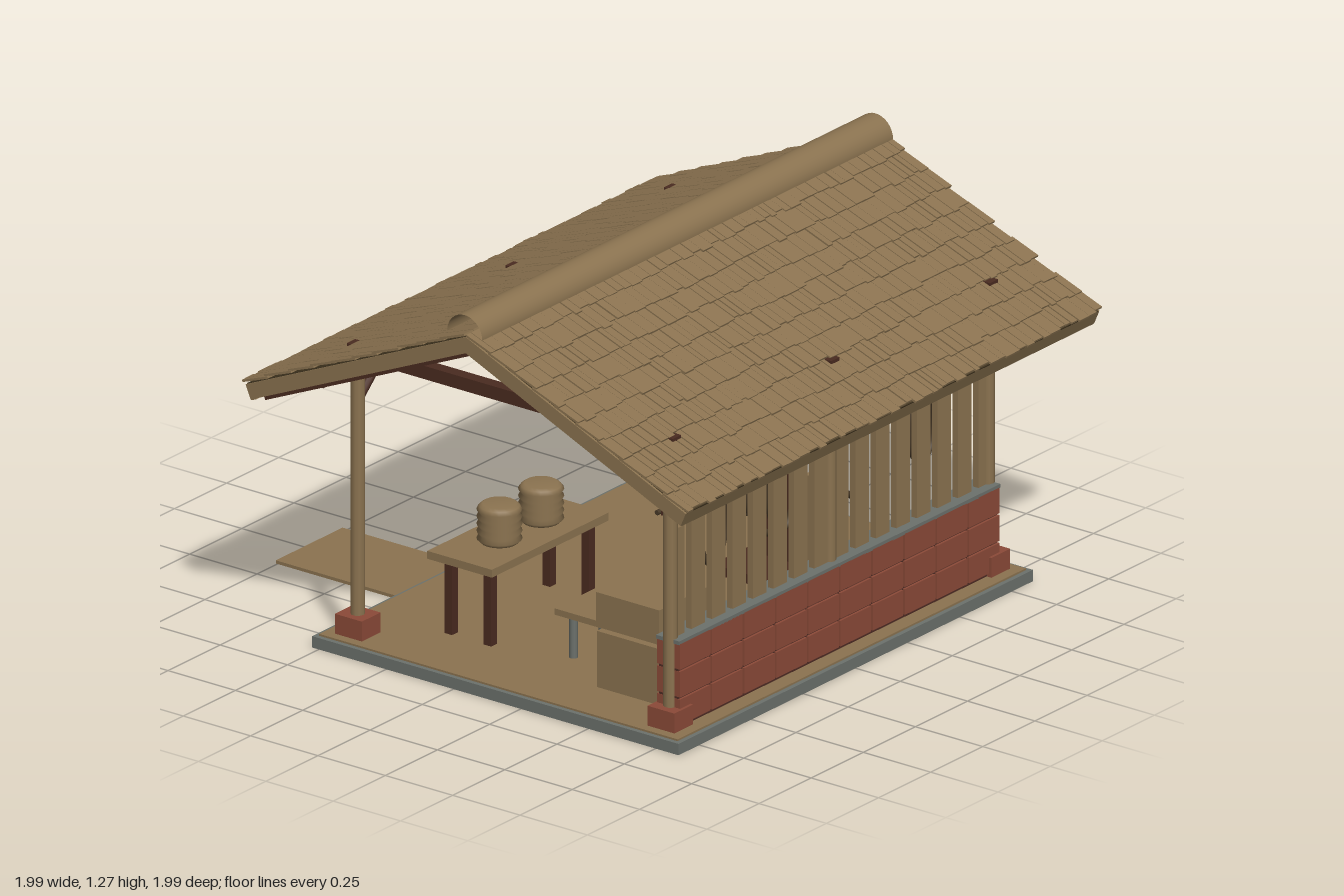
import * as THREE from 'three';
import { mergeGeometries } from 'three/addons/utils/BufferGeometryUtils.js';

const mat = (name, color, side = THREE.FrontSide) => {
  const m = new THREE.MeshStandardMaterial({ color, side });
  m.name = name;
  return m;
};

export function createModel() {
  const root = new THREE.Group();
  root.name = 'openWorkshop';
  const tan = mat('tan wood', 0x8b7350);
  const tanShell = tan.clone();
  tanShell.side = THREE.DoubleSide;
  const brown = mat('dark brown wood', 0x4a2b20);
  const brick = mat('red brick', 0x8b4a38);
  const mortar = mat('mortar', 0x4f2c24);
  const stone = mat('grey stone', 0x6c716c);
  const rope = mat('dark rope', 0x4a3b29);
  const shade = mat('roof gap', 0x40341f);

  let seed = 7;
  const rnd = () => (seed = (seed * 16807) % 2147483647) / 2147483647;

  const add = (name, geo, m, parent = root) => {
    const mesh = new THREE.Mesh(geo, m);
    mesh.name = name;
    parent.add(mesh);
    return mesh;
  };
  // box geometry from its limits
  const bx = (x0, x1, y0, y1, z0, z1) =>
    new THREE.BoxGeometry(x1 - x0, y1 - y0, z1 - z0).translate((x0 + x1) / 2, (y0 + y1) / 2, (z0 + z1) / 2);
  const box = (name, m, lim, parent) => add(name, bx(...lim), m, parent);
  // round bar between two points
  const bar = (name, m, a, b, r, parent) => {
    const p = new THREE.Vector3(...a), q = new THREE.Vector3(...b);
    const mesh = add(name, new THREE.CylinderGeometry(r, r, p.distanceTo(q), 10), m, parent);
    mesh.position.copy(p).lerp(q, 0.5);
    mesh.quaternion.setFromUnitVectors(new THREE.Vector3(0, 1, 0), q.sub(p).normalize());
    return mesh;
  };

  // ground slab, floor and entry board
  box('slab', stone, [-0.85, 0.85, 0, 0.036, -0.525, 0.835]);
  box('floor', tan, [-0.835, 0.835, 0.036, 0.042, -0.51, 0.82]);
  box('entryBoard', tan, [-0.41, -0.09, 0.004, 0.014, -1, -0.54]);

  // posts on brick feet
  const zF = 0.735, zB = -0.425;
  for (const [x, z] of [[-0.76, zF], [0, zF], [0.76, zF], [-0.76, zB], [0.76, zB]]) {
    bar('post', tan, [x, 0.1, z], [x, 0.92, z], 0.022);
    if (x !== 0) box('postFoot', brick, [x - 0.045, x + 0.045, 0.04, 0.105, z - 0.05, z + 0.05]);
  }

  // low brick wall
  box('wallCore', mortar, [-0.765, 0.765, 0.04, 0.305, 0.697, 0.768]);
  const bricks = [];
  for (let r = 0; r < 3; r++)
    for (let c = 0; c < 10; c++) {
      const x = -0.77 + c * 0.154, y = 0.05 + r * 0.088;
      bricks.push(bx(x + 0.004, x + 0.15, y + 0.003, y + 0.084, 0.69, 0.776));
    }
  add('wallBricks', mergeGeometries(bricks), brick);
  box('wallCoping', stone, [-0.77, 0.77, 0.308, 0.32, 0.69, 0.776]);

  // upright slats above the wall
  for (let i = 0; i < 16; i++) {
    const x = -0.737 + i * 0.0983;
    box('slat', tan, [x - 0.033, x + 0.033, 0.32, 0.662, 0.725, 0.745]);
  }

  // hanging rail with oval hoops
  box('hangingRail', brown, [-0.695, 0.695, 0.665, 0.688, 0.65, 0.675]);
  for (const x of [-0.68, 0, 0.68]) box('railBracket', brown, [x - 0.012, x + 0.012, 0.665, 0.685, 0.67, 0.73]);
  for (const x of [-0.46, -0.13, 0.21, 0.54]) {
    const hoop = add('hangingHoop', new THREE.TorusGeometry(0.115, 0.012, 8, 28), rope);
    hoop.scale.x = 0.53;
    hoop.position.set(x, 0.555, 0.66);
  }

  // tie beams, wall plates, ridge beam and knee braces
  for (const x of [-0.76, 0, 0.76]) box('tieBeam', brown, [x - 0.02, x + 0.02, 0.92, 0.962, -0.45, 0.76]);
  for (const z of [zF, zB]) {
    box('wallPlate', brown, [-0.95, 0.95, 0.885, 0.92, z - 0.02, z + 0.02]);
    for (const s of [-1, 1]) {
      bar('kneeBrace', brown, [s * 0.76, 0.78, z], [s * 0.63, 0.9, z], 0.014);
    }
  }
  box('ridgeBeam', brown, [-0.95, 0.95, 1.125, 1.165, 0.135, 0.175]);

  // two roof slopes, each built along its own local z from ridge to eave
  for (const turn of [0, Math.PI]) {
    const slope = new THREE.Group();
    slope.name = turn ? 'backRoof' : 'frontRoof';
    slope.rotation.set(0.411, turn, 0, 'YXZ');
    slope.position.set(0, 1.2, 0.155);
    root.add(slope);
    box('deck', tan, [-0.985, 0.985, -0.014, 0, 0, 0.89], slope);
    box('underlay', shade, [-0.985, 0.985, 0, 0.004, 0, 0.89], slope);
    box('eaveBoard', tan, [-0.985, 0.99, -0.048, 0, 0.87, 0.89], slope);
    for (const s of [-1, 1]) box('bargeBoard', tan, [s * 0.98 - 0.012, s * 0.98 + 0.012, -0.045, 0.002, 0, 0.89], slope);
    for (let i = 0; i < 9; i++) {
      const x = -0.94 + i * 0.235;
      box('rafter', brown, [x - 0.014, x + 0.014, -0.062, -0.014, 0.02, 0.87], slope);
    }
    for (const z of [0.2, 0.42, 0.64]) box('purlin', brown, [-0.95, 0.95, -0.034, -0.014, z, z + 0.025], slope);
    const shingles = [];
    for (let r = 0; r < 10; r++) {
      let x = -0.995;
      while (x < 0.975) {
        const w = Math.min(0.022 + rnd() * 0.03, 0.995 - x);
        const gap = rnd() < 0.4 ? 0.005 : 0.0008;
        const len = 0.093 + rnd() * 0.014;
        const g = new THREE.BoxGeometry(w - gap, 0.007, len).translate(0, 0, len / 2).rotateX(-0.06);
        shingles.push(g.translate(x + w / 2, 0.008 + rnd() * 0.002, r * 0.0885));
        x += w;
      }
    }
    add('shingles', mergeGeometries(shingles), tan, slope);
  }
  // half-round ridge cap, open at the ends
  const cap = new THREE.CylinderGeometry(0.065, 0.065, 1.97, 16, 1, true, 0, Math.PI).rotateZ(Math.PI / 2);
  add('ridgeCap', cap, tanShell).position.set(-0.005, 1.205, 0.15);

  // work table with two ribbed baskets
  box('tableTop', tan, [-0.64, -0.08, 0.28, 0.305, -0.26, -0.02]);
  for (const x of [-0.59, -0.12])
    for (const z of [-0.21, -0.065]) box('tableLeg', brown, [x - 0.014, x + 0.014, 0.04, 0.28, z - 0.014, z + 0.014]);
  for (const x of [-0.455, -0.255]) {
    const profile = [[0, 0], [0.056, 0]];
    for (let i = 0; i < 5; i++) profile.push([0.068, 0.012 + i * 0.023], [0.06, 0.023 + i * 0.023]);
    profile.push([0.05, 0.122], [0, 0.122]);
    add('basket', new THREE.LatheGeometry(profile.map((p) => new THREE.Vector2(...p)), 20), tan).position.set(x, 0.307, -0.135);
  }

  // low bench with grey legs
  box('benchTop', tan, [-0.56, -0.25, 0.18, 0.2, 0.15, 0.35]);
  for (const x of [-0.52, -0.29])
    for (const z of [0.19, 0.3]) bar('benchLeg', stone, [x, 0.04, z], [x, 0.18, z], 0.013);

  // stacked boxes
  box('lowerBox', tan, [-0.66, -0.4, 0.042, 0.22, 0.385, 0.635]);
  box('upperBox', tan, [-0.645, -0.405, 0.225, 0.335, 0.37, 0.605]);

  // large hand-cranked wheel on a stand
  const stand = new THREE.Group();
  stand.name = 'wheelStand';
  stand.position.set(0.4, 0, 0.265);
  root.add(stand);
  box('standBase', brown, [-0.16, 0.16, 0.042, 0.072, -0.147, 0.147], stand);
  for (const z of [-0.1, 0.1]) box('standUpright', tan, [-0.02, 0.02, 0.07, 0.37, z - 0.015, z + 0.015], stand);
  box('standPanel', brown, [-0.01, 0.01, 0.07, 0.35, -0.085, 0.085], stand);
  add('wheelRim', new THREE.TorusGeometry(0.187, 0.011, 8, 36), rope, stand).position.y = 0.35;
  for (let i = 0; i < 4; i++) {
    const a = (i * Math.PI) / 4, c = 0.185 * Math.cos(a), s = 0.185 * Math.sin(a);
    bar('wheelSpoke', rope, [-c, 0.35 - s, 0], [c, 0.35 + s, 0], 0.006, stand);
  }
  bar('wheelAxle', stone, [0, 0.35, -0.135], [0, 0.35, 0.12], 0.01, stand);
  bar('crankArm', brown, [0, 0.35, -0.13], [0.03, 0.31, -0.13], 0.008, stand);
  bar('crankHandle', tan, [0.03, 0.31, -0.125], [0.03, 0.31, -0.195], 0.008, stand);

  // rope coil lying on the floor with a loose end
  for (let i = 0; i < 2; i++) {
    const coil = add('ropeCoil', new THREE.TorusGeometry(0.085 - i * 0.012, 0.009, 8, 28).rotateX(Math.PI / 2), rope);
    coil.position.set(0.715, 0.051 + i * 0.009, -0.13);
  }
  bar('ropeEnd', rope, [0.66, 0.05, -0.195], [0.6, 0.05, -0.28], 0.008);
  bar('ropeTip', rope, [0.6, 0.05, -0.28], [0.495, 0.05, -0.287], 0.008);

  return root;
}
